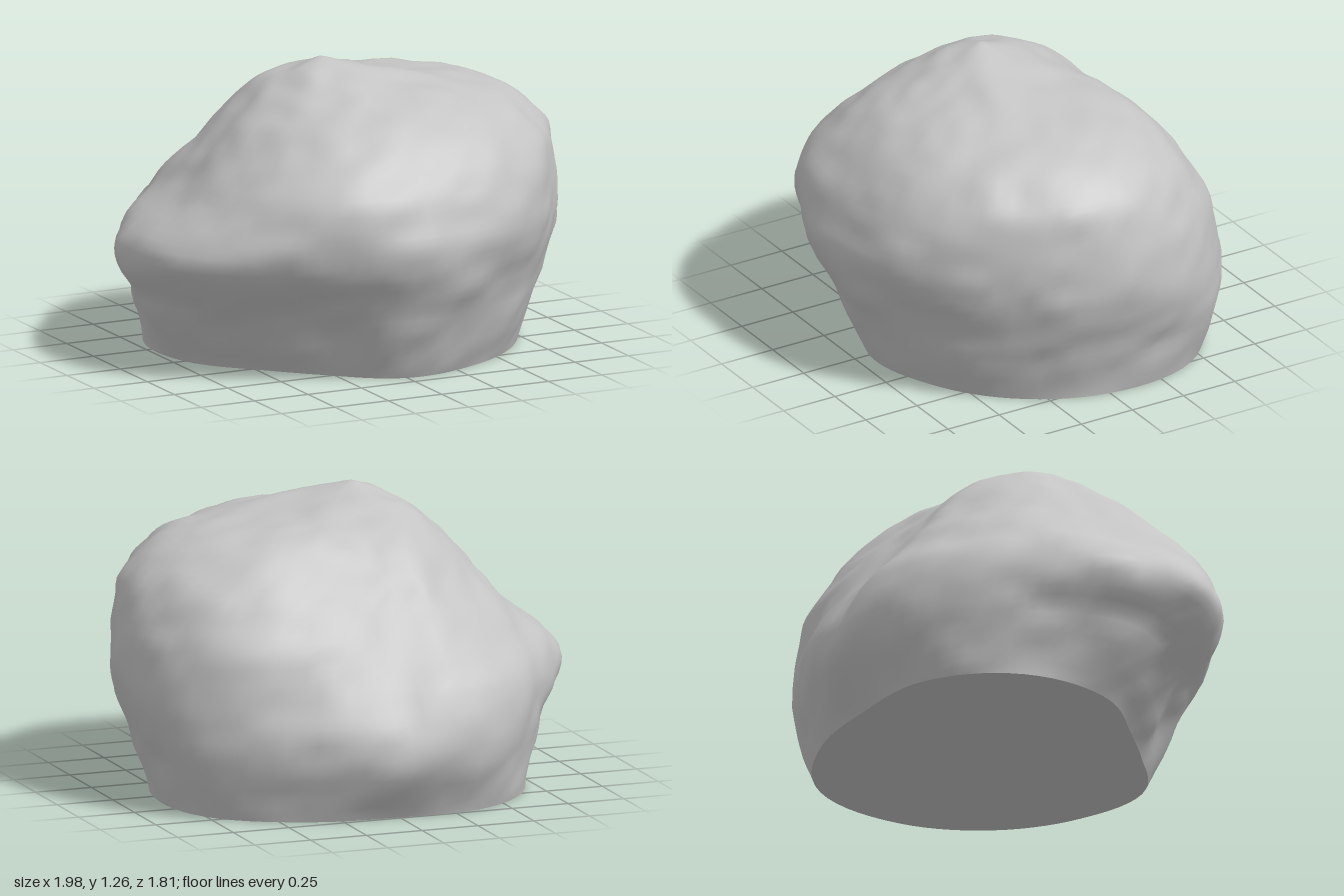
import * as THREE from 'three';

// Cross-sections of the boulder: height, centre x, centre z, then radii every 30 degrees from +x towards +z
const LEVELS = [
  [0.00, 0, 0, .82, .75, .70, .68, .56, .56, .70, .80, .81, .74, .79, .87],
  [0.27, 0, 0, .90, .84, .81, .80, .69, .76, .88, .85, .90, .89, .88, .95],
  [0.52, 0, 0, .98, .91, .90, .90, .87, .95, .98, .87, .87, .80, .83, .97],
  [0.75, 0, 0, .96, .92, .91, .87, .87, .81, .72, .71, .67, .61, .73, .92],
  [0.95, 0, 0, .88, .86, .81, .73, .71, .63, .54, .52, .49, .46, .55, .79],
  [1.10, 0, 0, .66, .65, .61, .54, .50, .46, .41, .38, .34, .31, .37, .56],
  [1.18, -.06, .05, .31, .32, .29, .26, .24, .24, .24, .23, .21, .20, .22, .28],
  [1.265, -.10, .07, 0, 0, 0, 0, 0, 0, 0, 0, 0, 0, 0, 0],
];
const RINGS = 49, SEGS = 84;

// Smooth curve through four neighbouring values
function spline(a, b, c, d, t) {
  return b + 0.5 * t * (c - a + t * (2 * a - 5 * b + 4 * c - d + t * (3 * (b - c) + d - a)));
}

// Interpolated column of the cross-section table
function column(k, v) {
  const i = Math.min(Math.floor(v), LEVELS.length - 2);
  const at = n => LEVELS[Math.max(0, Math.min(LEVELS.length - 1, n))][k];
  return spline(at(i - 1), at(i), at(i + 1), at(i + 2), v - i);
}

function radius(u, v) {
  const j = Math.floor(u);
  const at = n => column(3 + (n + 12) % 12, v);
  return spline(at(j - 1), at(j), at(j + 1), at(j + 2), u - j);
}

// Seeded value noise in -1..1
function hash(x, y, z) {
  const s = Math.sin(x * 127.1 + y * 311.7 + z * 74.7 + 5.3) * 43758.5453;
  return (s - Math.floor(s)) * 2 - 1;
}
function noise(x, y, z) {
  const [i, j, k] = [x, y, z].map(Math.floor);
  const [a, b, c] = [x - i, y - j, z - k].map(t => t * t * (3 - 2 * t));
  const mix = THREE.MathUtils.lerp;
  const row = (dy, dz) => mix(hash(i, j + dy, k + dz), hash(i + 1, j + dy, k + dz), a);
  return mix(mix(row(0, 0), row(1, 0), b), mix(row(0, 1), row(1, 1), b), c);
}

// Point on the weathered surface
function surfacePoint(ring, seg) {
  const v = ring / RINGS * (LEVELS.length - 1);
  const a = seg / SEGS * Math.PI * 2;
  const r = radius(seg / SEGS * 12, v);
  const p = new THREE.Vector3(
    column(1, v) + r * Math.cos(a), column(0, v), column(2, v) + r * Math.sin(a));
  if (ring === 0 || ring === RINGS) return p;
  // Small lumps and chips
  const bump = 0.012 * noise(p.x * 5, p.y * 5, p.z * 5)
    + 0.012 * noise(p.x * 10 + 9, p.y * 10, p.z * 10);
  const out = new THREE.Vector3(p.x, p.y - 0.45, p.z).normalize();
  p.addScaledVector(out, bump * Math.min(1, ring / 4));
  return p;
}

function addMesh(group, name, points, index, material) {
  const geometry = new THREE.BufferGeometry().setFromPoints(points);
  geometry.setIndex(index);
  geometry.computeVertexNormals();
  const mesh = new THREE.Mesh(geometry, material);
  mesh.name = name;
  group.add(mesh);
}

export function createModel() {
  const stone = new THREE.MeshStandardMaterial({ color: 0xc4c4c4 });
  stone.name = 'grey stone';
  const group = new THREE.Group();
  group.name = 'boulder';

  // Sides and crown
  const points = [], index = [];
  for (let i = 0; i < RINGS; i++) {
    for (let j = 0; j < SEGS; j++) points.push(surfacePoint(i, j));
  }
  const apex = points.push(surfacePoint(RINGS, 0)) - 1;
  for (let i = 0; i < RINGS; i++) {
    for (let j = 0; j < SEGS; j++) {
      const a = i * SEGS + j, b = i * SEGS + (j + 1) % SEGS;
      if (i === RINGS - 1) index.push(b, a, apex);
      else index.push(b, a, a + SEGS, b, a + SEGS, b + SEGS);
    }
  }
  addMesh(group, 'boulderBody', points, index, stone);

  // Flat underside
  const rim = points.slice(0, SEGS), fan = [];
  rim.push(new THREE.Vector3(0, 0, 0));
  for (let j = 0; j < SEGS; j++) fan.push(SEGS, j, (j + 1) % SEGS);
  addMesh(group, 'flatUnderside', rim, fan, stone);

  return group;
}
